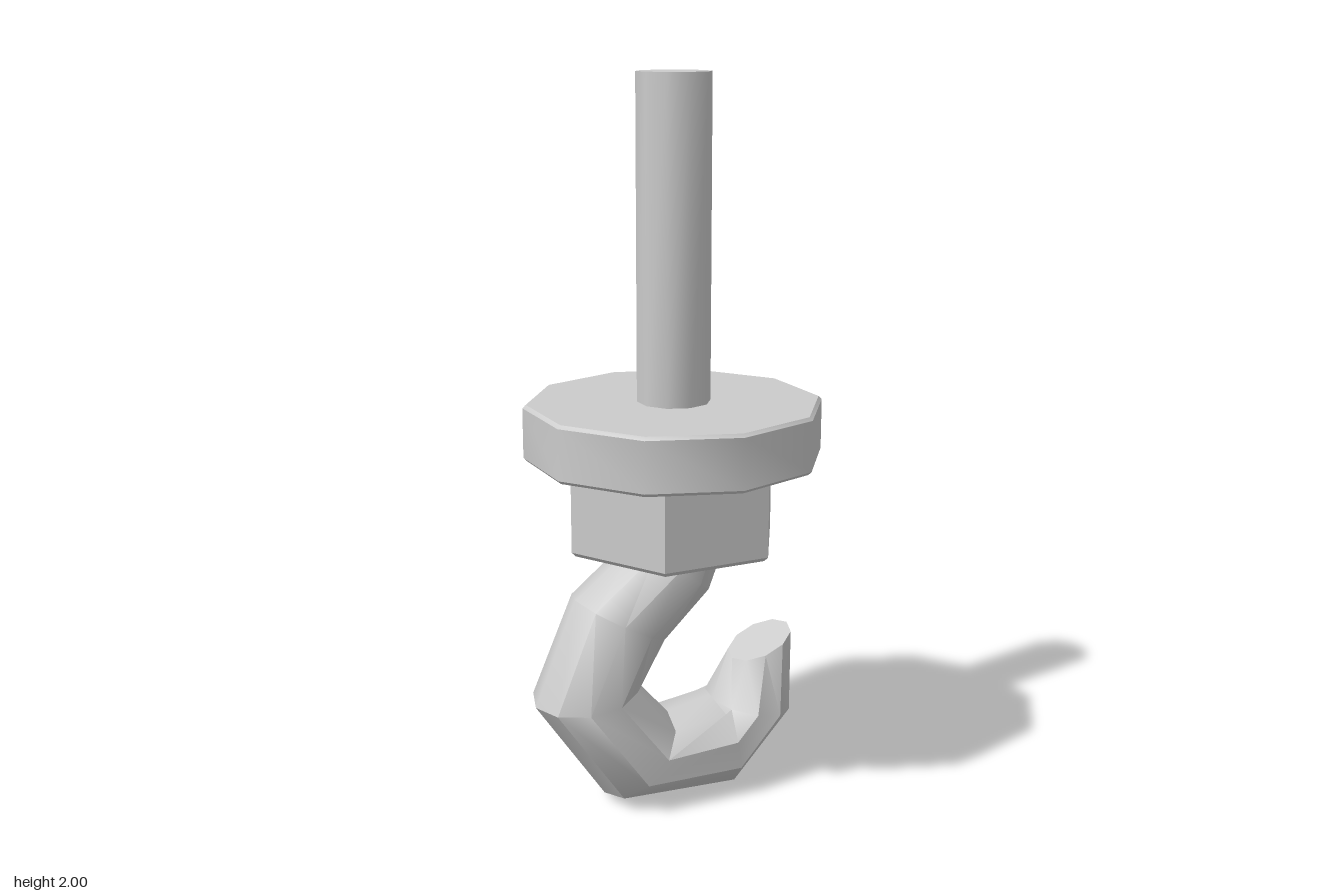
import * as THREE from 'three';
import { toCreasedNormals } from 'three/addons/utils/BufferGeometryUtils.js';

const AXIS_X = 0.015;
const SIDES = 10;
const CREASE = 0.68;

// Turned solid between y0 and y1 with a small chamfer on both rims
function turned(radius, y0, y1, sides, chamfer, start = 0) {
  const profile = [
    [0, y0], [radius - chamfer, y0], [radius, y0 + chamfer],
    [radius, y1 - chamfer], [radius - chamfer, y1], [0, y1],
  ].map(([r, y]) => new THREE.Vector2(r, y));
  const g = new THREE.LatheGeometry(profile, sides, start).toNonIndexed();
  return toCreasedNormals(g, CREASE).translate(AXIS_X, 0, 0);
}

// Hook lofted through mitred rings: [outer x, outer y, inner x, inner y, half depth]
function hookGeometry() {
  const rings = [
    [-0.07, 0.90, 0.19, 0.82, 0.135],
    [-0.10, 0.75, 0.10, 0.60, 0.137],
    [-0.28, 0.61, -0.03, 0.475, 0.138],
    [-0.40, 0.32, -0.11, 0.355, 0.149],
    [-0.20, 0.025, -0.005, 0.235, 0.153],
    [0.165, 0.005, 0.13, 0.26, 0.153],
    [0.365, 0.205, 0.135, 0.245, 0.135],
    [0.378, 0.44, 0.20, 0.36, 0.088],
  ];
  const positions = [];
  const index = [];
  for (const [ox, oy, ix, iy, depth] of rings) {
    for (let j = 0; j < SIDES; j++) {
      const a = (j / SIDES) * Math.PI * 2;
      const t = (1 + Math.cos(a)) / 2;
      positions.push(ix + (ox - ix) * t, iy + (oy - iy) * t, (Math.sin(a) * depth) / 0.951);
    }
  }
  for (let i = 0; i < rings.length - 1; i++) {
    for (let j = 0; j < SIDES; j++) {
      const a = i * SIDES + j;
      const b = i * SIDES + ((j + 1) % SIDES);
      index.push(a, a + SIDES, b + SIDES, a, b + SIDES, b);
    }
  }
  // Flat faces at the tip and at the hidden root
  const last = (rings.length - 1) * SIDES;
  for (let j = 1; j < SIDES - 1; j++) {
    index.push(last, last + j + 1, last + j);
    index.push(0, j, j + 1);
  }
  const g = new THREE.BufferGeometry();
  g.setAttribute('position', new THREE.Float32BufferAttribute(positions, 3));
  g.setIndex(index);
  return toCreasedNormals(g.toNonIndexed(), CREASE);
}

export function createModel() {
  const model = new THREE.Group();
  model.name = 'ceilingHook';
  const material = new THREE.MeshStandardMaterial({ color: 0xcccccc });
  const add = (name, geometry) => {
    const mesh = new THREE.Mesh(geometry, material);
    mesh.name = name;
    model.add(mesh);
  };

  // Straight shank
  const shank = new THREE.CylinderGeometry(0.1, 0.1, 0.9, SIDES).toNonIndexed();
  add('shank', toCreasedNormals(shank, CREASE).translate(AXIS_X, 1.55, 0));

  // Round washer and hexagonal nut
  add('washer', turned(0.407, 0.98, 1.135, SIDES, 0.009));
  add('nut', turned(0.303, 0.735, 0.985, 6, 0.012, Math.PI / 2));

  // Curved hook
  add('hook', hookGeometry());
  return model;
}
